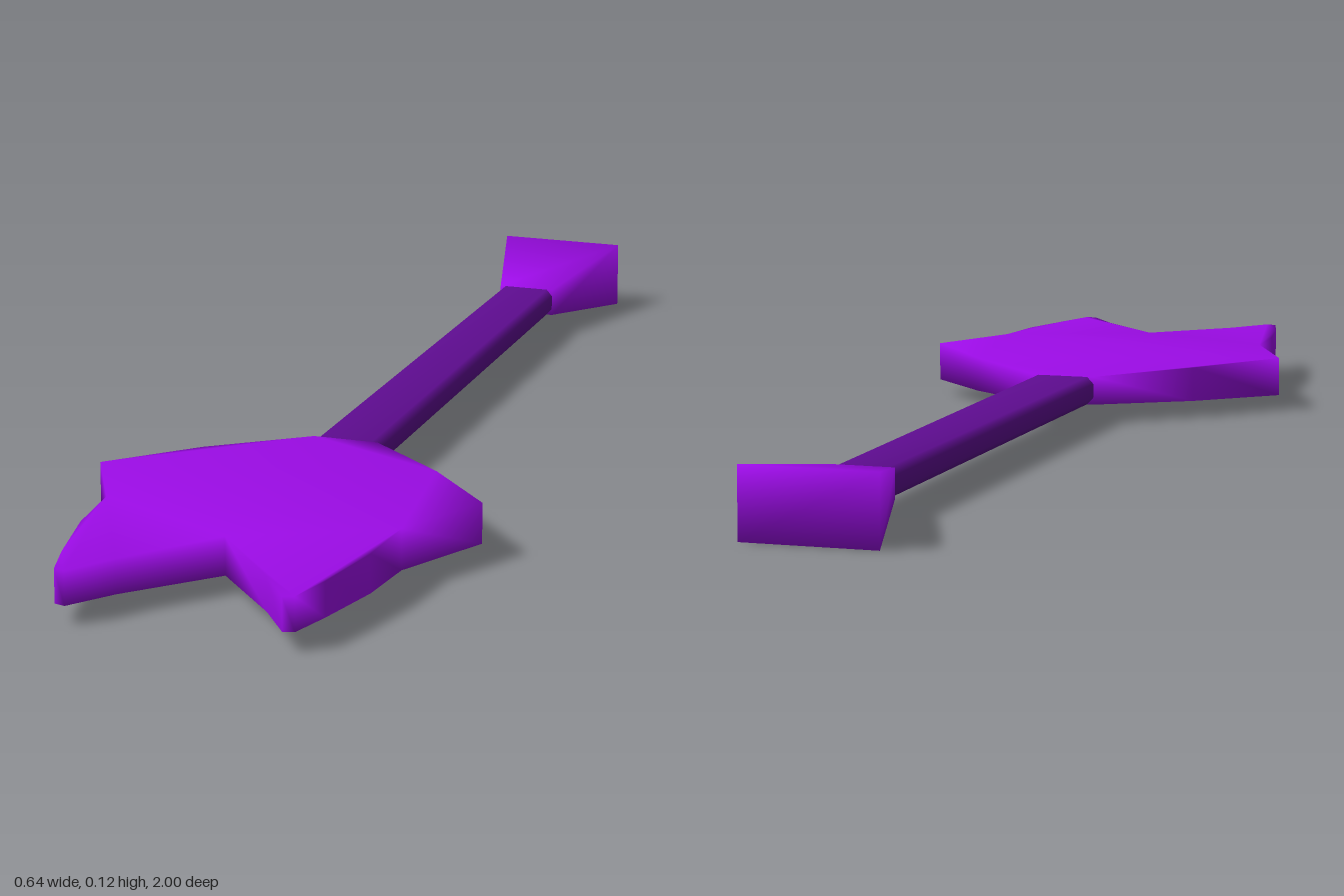
import * as THREE from 'three';
import { mergeVertices } from 'three/addons/utils/BufferGeometryUtils.js';

const MID_Y = 0.058;

// Move every vertex by a rule.
function reshape(geometry, rule) {
  const p = geometry.attributes.position;
  const v = new THREE.Vector3();
  for (let i = 0; i < p.count; i++) {
    rule(v.fromBufferAttribute(p, i));
    p.setXYZ(i, v.x, v.y, v.z);
  }
  return geometry;
}

// Weld the corners so the shading runs softly over the edges.
function soften(geometry) {
  geometry.deleteAttribute('normal');
  geometry.deleteAttribute('uv');
  geometry.clearGroups();
  const welded = mergeVertices(geometry, 1e-4);
  welded.computeVertexNormals();
  return welded;
}

export function createModel() {
  const model = new THREE.Group();
  model.name = 'forkedShaft';

  const bright = new THREE.MeshStandardMaterial({ color: 0xa00cec });
  bright.name = 'brightPurple';
  const dark = new THREE.MeshStandardMaterial({ color: 0x5e0c90 });
  dark.name = 'darkPurple';

  const add = (name, geometry, material) => {
    const mesh = new THREE.Mesh(soften(geometry), material);
    mesh.name = name;
    mesh.position.y = MID_Y;
    model.add(mesh);
  };

  // Forked head: half outline (x, z), mirrored
  const half = [
    [0.055, 0.24], [0.2, 0.37], [0.321, 0.51], [0.243, 0.67], [0.235, 0.79],
    [0.21, 0.92], [0.19, 0.995], [0.172, 1], [0.12, 0.925],
  ];
  const outline = [
    ...half, [0, 0.785],
    ...half.map(([x, z]) => [-x, z]).reverse(),
  ].map(([x, z]) => new THREE.Vector2(x, -z));
  const head = new THREE.ExtrudeGeometry(new THREE.Shape(outline), { depth: 2, bevelEnabled: false });
  head.translate(0, 0, -1).rotateX(-Math.PI / 2);
  // Thickest across the widest part, thinner at the neck and tips
  reshape(head, (v) => {
    const neck = THREE.MathUtils.smoothstep(v.z, 0.2, 0.5);
    const tip = THREE.MathUtils.smoothstep(v.z, 0.65, 1);
    v.y *= 0.024 + 0.0095 * neck - 0.006 * tip;
  });
  add('forkedHead', head, bright);

  // Flat shaft with trimmed corners, slightly wider toward the head
  const shaft = new THREE.CylinderGeometry(1, 1, 1.005, 8, 1, true, Math.PI / 8);
  shaft.rotateX(Math.PI / 2).translate(0, 0, -0.2625);
  reshape(shaft, (v) => {
    const side = Math.abs(v.x) > Math.abs(v.y);
    const halfWidth = v.z > 0 ? 0.056 : 0.05;
    v.x = Math.sign(v.x) * halfWidth * (side ? 1 : 0.8);
    v.y = Math.sign(v.y) * 0.024 * (side ? 0.5 : 1);
  });
  add('shaft', shaft, dark);

  // Flared tail
  const tail = new THREE.BoxGeometry(2, 2, 0.235);
  tail.translate(0, 0, -0.8825);
  reshape(tail, (v) => {
    const back = v.z < -0.9;
    v.x *= back ? 0.111 : 0.05;
    v.y *= back ? 0.058 : 0.024;
  });
  add('flaredTail', tail, bright);

  return model;
}
